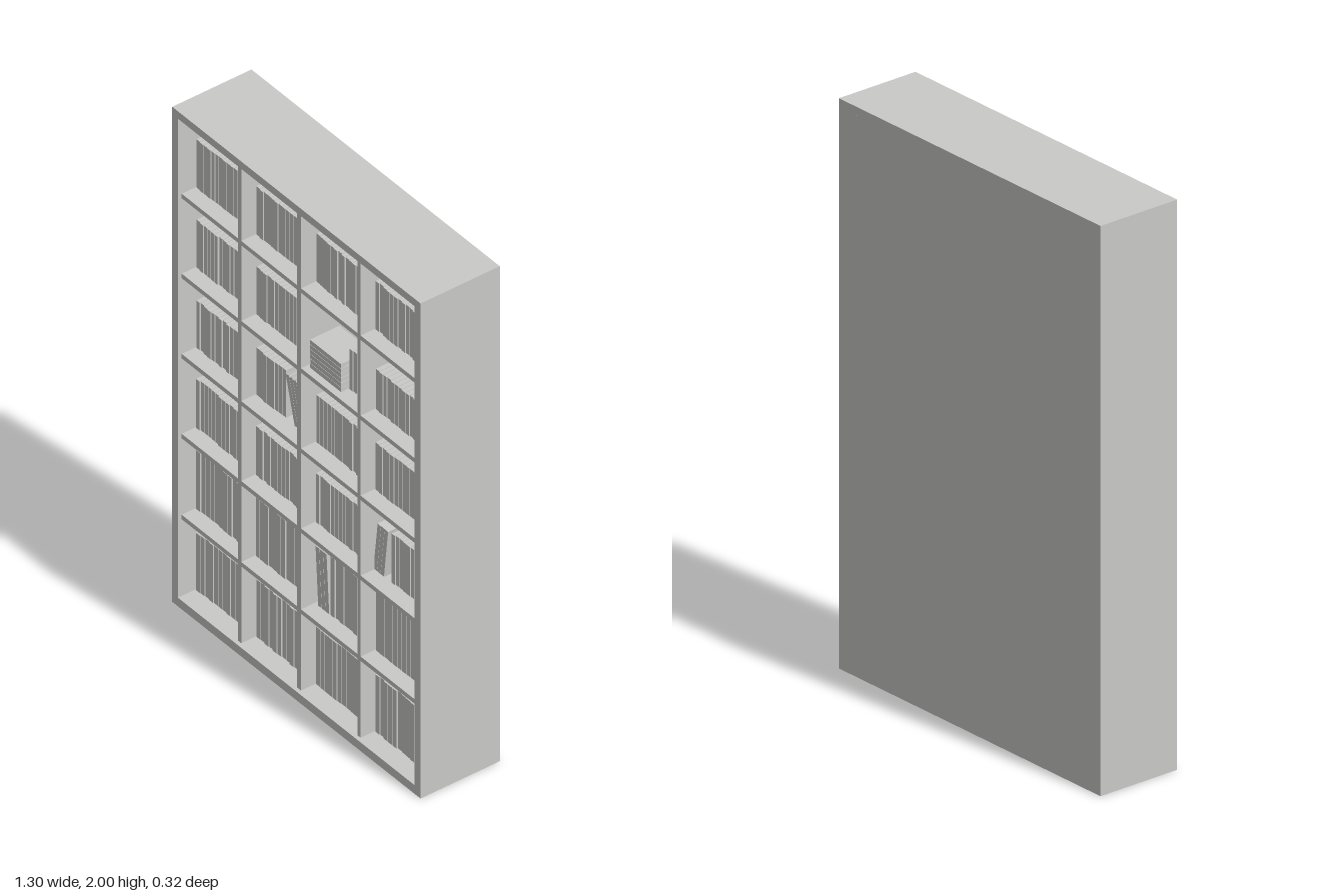
import * as THREE from 'three';
import { mergeGeometries } from 'three/addons/utils/BufferGeometryUtils.js';

const W = 1.3, H = 2, D = 0.32;
const BACK = -0.14;            // inner face of the back panel
const BOOK_FRONT = 0.09, BOOK_DEPTH = 0.12;

// Bays between the uprights, and rows between the shelves
const bays = [[-0.62, -0.325], [-0.308, -0.015], [0.005, 0.3], [0.317, 0.618]];
const rows = [
  { floor: 0.035, h: 0.232, n: 13 },
  { floor: 0.363, h: 0.237, n: 13 },
  { floor: 0.69, h: 0.198, n: 15 },
  { floor: 1.013, h: 0.191, n: 15 },
  { floor: 1.337, h: 0.193, n: 15 },
  { floor: 1.66, h: 0.195, n: 15 },
];

// Bays that are not simply filled, keyed by row then bay
const special = {
  '1,0': { to: -0.335 },
  '1,2': { from: 0.084, lean: { x: 0.023, n: 3, t: 0.0195, angle: 0.06 } },
  '2,3': { from: 0.405, lean: { x: 0.331, n: 3, t: 0.0185, angle: -0.11 } },
  '3,1': { to: -0.15, lean: { x: -0.1, n: 4, t: 0.018, angle: 0.255 } },
  '4,1': { to: -0.038 },
  '4,2': { from: 0.185, h: 0.163, stack: true },
  '4,3': { h: 0.163 },
};

// Box given by its limits on each axis
function block(x0, x1, y0, y1, z0, z1) {
  return new THREE.BoxGeometry(x1 - x0, y1 - y0, z1 - z0)
    .translate((x0 + x1) / 2, (y0 + y1) / 2, (z0 + z1) / 2);
}

export function createModel() {
  const model = new THREE.Group();
  const paint = new THREE.MeshStandardMaterial({ color: 0xc9c9c7 });
  paint.name = 'light grey';

  let seed = 7;
  const random = () => (seed = (seed * 16807) % 2147483647) / 2147483647;

  function add(name, geometry, parent = model) {
    const mesh = new THREE.Mesh(geometry, paint);
    mesh.name = name;
    parent.add(mesh);
  }

  // Outer case: one frame with a rectangular hole, plus the back panel
  const outline = new THREE.Shape([[-W / 2, 0], [W / 2, 0], [W / 2, H], [-W / 2, H]]
    .map(p => new THREE.Vector2(...p)));
  outline.holes.push(new THREE.Path([[-0.62, 0.035], [-0.62, 1.97], [0.618, 1.97], [0.618, 0.035]]
    .map(p => new THREE.Vector2(...p))));
  add('caseFrame', new THREE.ExtrudeGeometry(outline, { depth: D, bevelEnabled: false })
    .translate(0, 0, -D / 2));
  add('backPanel', block(-0.62, 0.618, 0.035, 1.97, -D / 2, BACK));

  // Uprights and shelves, set slightly back from the frame
  for (let i = 0; i < 3; i++)
    add('upright', block(bays[i][1], bays[i + 1][0], 0.035, 1.97, BACK, 0.145));
  for (const row of rows.slice(1))
    for (const [x0, x1] of bays)
      add('shelf', block(x0, x1, row.floor - 0.018, row.floor, BACK, 0.145));

  // A run of upright books with narrow gaps and slightly uneven fronts
  function uprightBooks(x0, x1, floor, h, pitch) {
    const n = Math.max(1, Math.round((x1 - x0) / pitch));
    const step = (x1 - x0) / n;
    return Array.from({ length: n }, (_, i) => {
      const z = BOOK_FRONT - random() * 0.006;
      const x = x0 + i * step;
      return block(x + 0.001, x + step - 0.001, floor, floor + h,
        z - BOOK_DEPTH - random() * 0.01, z);
    });
  }

  // Leaning books, each turned about the bottom corner it rests on
  function leaningBooks({ x, n, t, angle }, floor, h) {
    const left = angle > 0 ? 0 : -t;
    return Array.from({ length: n }, (_, i) =>
      block(left + 0.0005, left + t - 0.0005, 0, h * 0.985, BOOK_FRONT - BOOK_DEPTH, BOOK_FRONT)
        .rotateZ(angle)
        .translate(x + i * t / Math.cos(angle), floor, 0));
  }

  // Flat pile of six books
  function stackedBooks(floor) {
    return Array.from({ length: 6 }, (_, i) => {
      const x = 0.018 + random() * 0.004, y = floor + i * 0.019;
      return block(x, x + 0.162, y, y + 0.0175, 0, 0.12);
    });
  }

  rows.forEach((row, r) => bays.forEach(([x0, x1], c) => {
    const s = special[`${r},${c}`] ?? {};
    const group = new THREE.Group();
    group.name = 'bookBay';
    const h = s.h ?? row.h;
    add('uprightBooks', mergeGeometries(uprightBooks(
      s.from ?? x0 + 0.002, s.to ?? x1 - 0.002, row.floor, h, 0.295 / row.n)), group);
    if (s.lean) add('leaningBooks', mergeGeometries(leaningBooks(s.lean, row.floor, h)), group);
    if (s.stack) add('stackedBooks', mergeGeometries(stackedBooks(row.floor)), group);
    model.add(group);
  }));

  return model;
}
